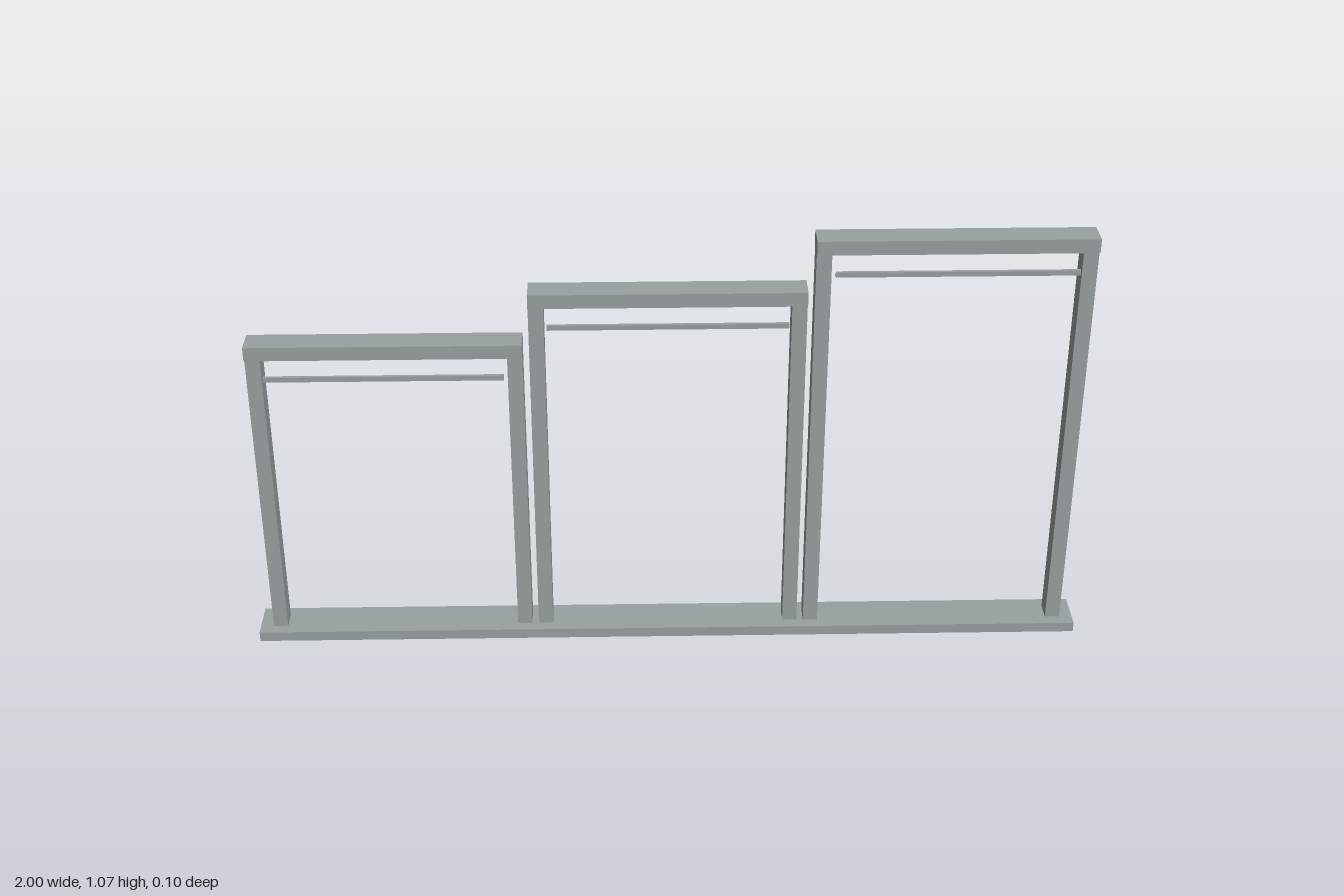
import * as THREE from 'three';

const steel = new THREE.MeshStandardMaterial({ color: 0x98a19f });
steel.name = 'grey steel';

function box(name, w, h, d, x, y, z) {
  const mesh = new THREE.Mesh(new THREE.BoxGeometry(w, h, d), steel);
  mesh.name = name;
  mesh.position.set(x, y, z);
  return mesh;
}

// One portal frame: two posts, a wider top beam and a thin rail in front
function createFrame(name, x, top) {
  const width = 0.635, post = 0.035, beam = 0.034;
  const frame = new THREE.Group();
  frame.name = name;
  frame.position.x = x;
  const postHeight = top - beam;
  for (const side of [-1, 1]) {
    frame.add(box(side < 0 ? 'rightPost' : 'leftPost', post, postHeight, 0.048,
      side * (width - post) / 2, postHeight / 2, 0));
  }
  frame.add(box('topBeam', width, beam, 0.066, 0, top - beam / 2, 0));
  frame.add(box('hangingRail', 0.55, 0.012, 0.008, 0, top - 0.076, 0.043));
  return frame;
}

export function createModel() {
  const model = new THREE.Group();
  model.name = 'steppedFrames';

  // Long base plank, held just above the ground by the post ends
  model.add(box('basePlank', 2, 0.025, 0.104, 0, 0.026, 0));

  // Three frames stepping up towards +x
  const names = ['lowFrame', 'middleFrame', 'tallFrame'];
  names.forEach((name, i) => {
    model.add(createFrame(name, (i - 1) * 0.651, 0.814 + i * 0.1265));
  });
  return model;
}
